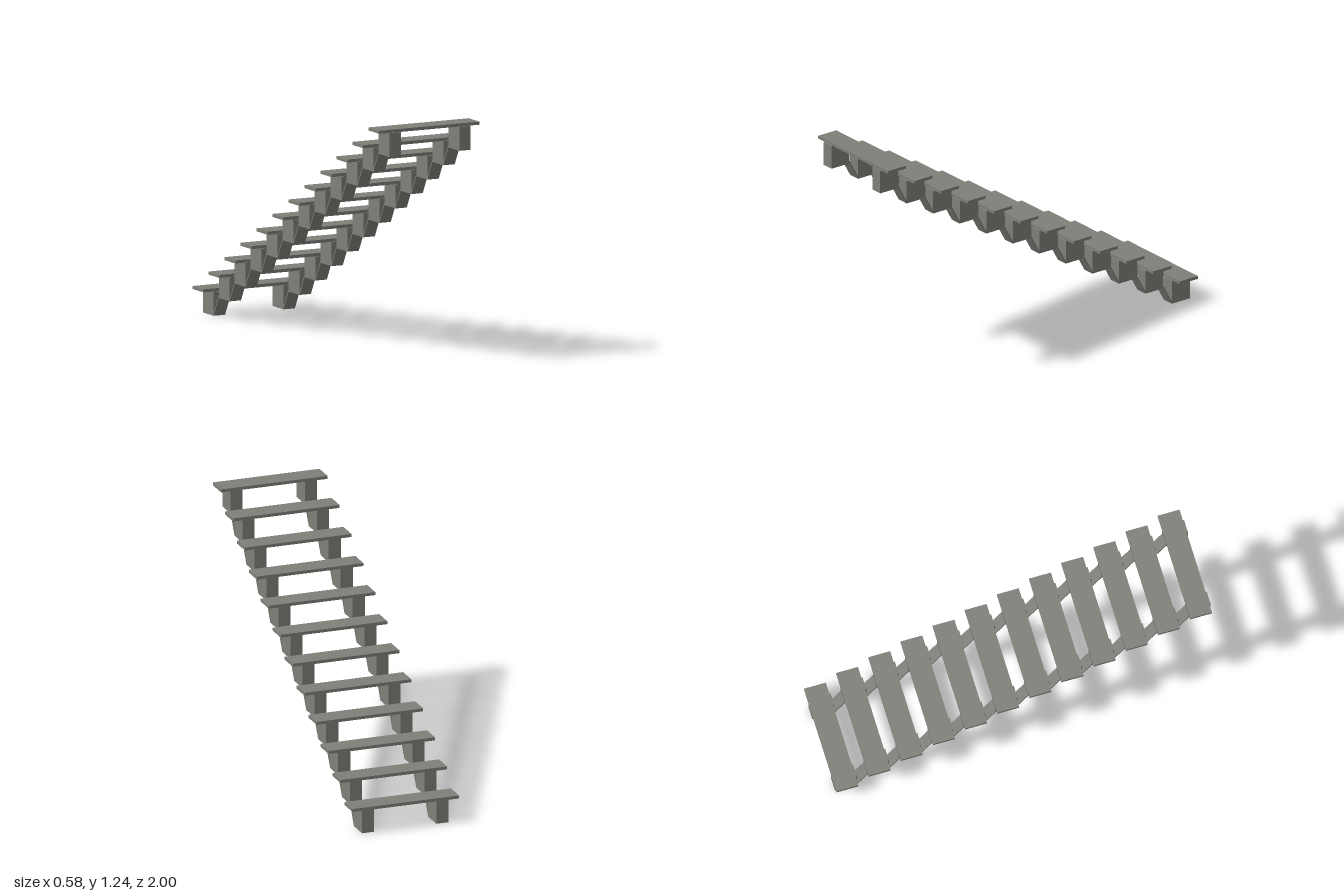
import * as THREE from 'three';

const STEPS = 12, RISE = 0.1001, RUN = 0.1706;
const BLOCK = { w: 0.066, h: 0.124, d: 0.116, x: 0.202, z: -0.992 };
const TREAD = { w: 0.58, h: 0.016, d: 0.116, z: -1 };

export function createModel() {
  const stone = new THREE.MeshStandardMaterial({ color: 0x80807a });
  const model = new THREE.Group();
  model.name = 'openStaircase';

  const add = (name, geometry, x, y, z) => {
    const mesh = new THREE.Mesh(geometry, stone);
    mesh.name = name;
    mesh.position.set(x, y, z);
    model.add(mesh);
  };

  const treadGeo = new THREE.BoxGeometry(TREAD.w, TREAD.h, TREAD.d);
  const blockGeo = new THREE.BoxGeometry(BLOCK.w, BLOCK.h, BLOCK.d);

  // thin sloping strip from one block's lower edge to the next; profile in (z, y)
  const gap = RUN - BLOCK.d, lip = 0.014;
  const profile = new THREE.Shape([[0, 0], [gap, RISE], [gap, RISE + lip], [0, lip]]
    .map(([z, y]) => new THREE.Vector2(-z, y)));
  const linkGeo = new THREE.ExtrudeGeometry(profile, { depth: BLOCK.w, bevelEnabled: false });
  linkGeo.translate(0, 0, -BLOCK.w / 2).rotateY(Math.PI / 2);

  for (let i = 0; i < STEPS; i++) {
    const y = i * RISE, z = i * RUN;
    add('tread', treadGeo, 0, y + BLOCK.h + TREAD.h / 2, TREAD.z + TREAD.d / 2 + z);
    for (const [side, s] of [['left', 1], ['right', -1]]) {
      add(side + 'SupportBlock', blockGeo, s * BLOCK.x, y + BLOCK.h / 2, BLOCK.z + BLOCK.d / 2 + z);
      if (i < STEPS - 1) add(side + 'StringerLink', linkGeo, s * BLOCK.x, y, BLOCK.z + BLOCK.d + z);
    }
  }
  return model;
}
